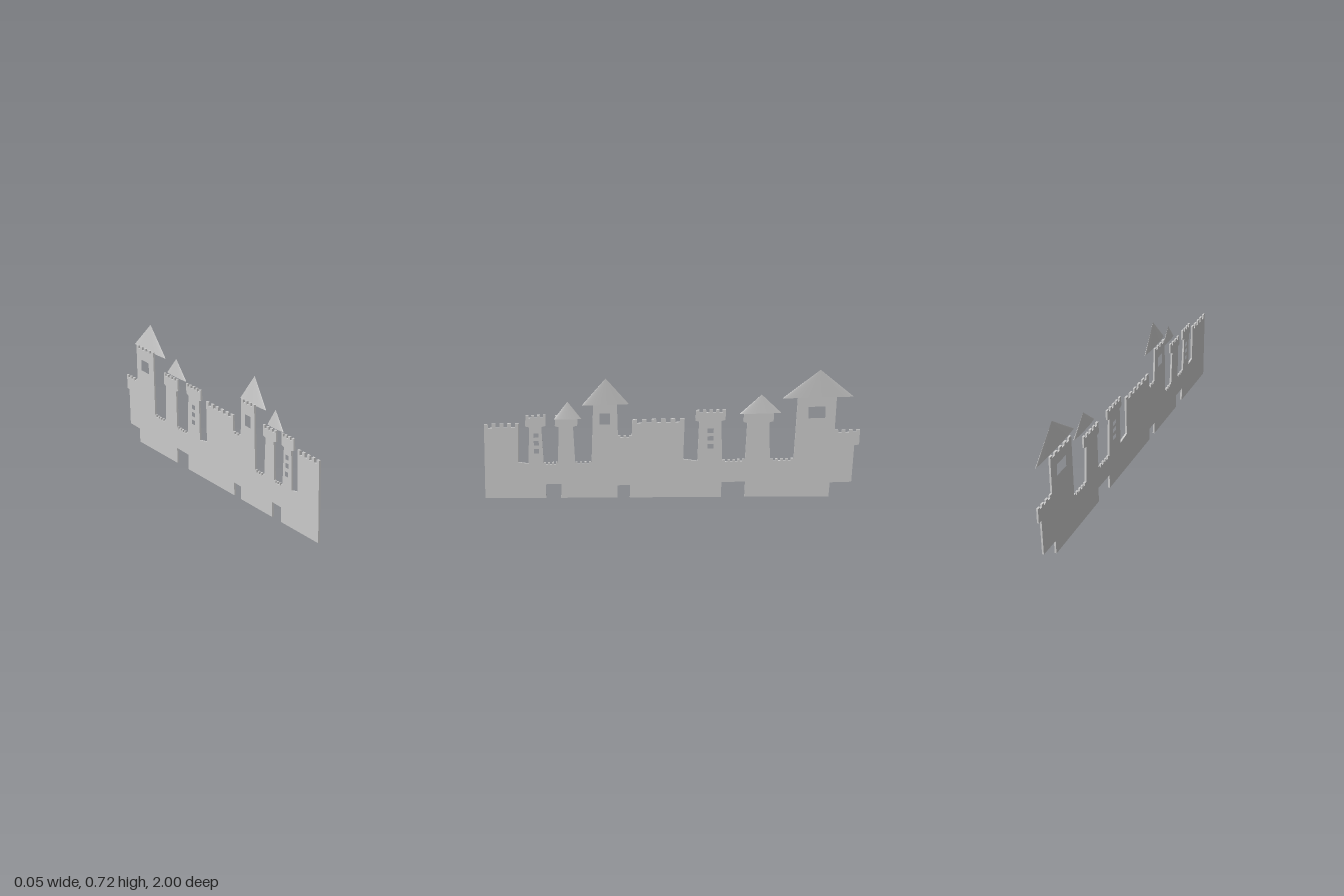
import * as THREE from 'three';

const material = new THREE.MeshStandardMaterial({ color: 0xcccccc });
const vec = (u, y) => new THREE.Vector2(u, y);

// The ground line and the low walls both sink gently from front to rear
const groundY = u => 0.05 - 0.027 * (u + 1);
const lowWallY = u => 0.24 - 0.013 * (u + 0.7);

// Battlement from u0 to u1 with n merlons
function battlement(u0, u1, top, n, depth = 0.015) {
  const points = [], steps = 2 * n - 1;
  for (let i = 0; i < steps; i++) {
    const y = i % 2 ? top - depth : top;
    points.push(vec(u0 + (u1 - u0) * i / steps, y), vec(u0 + (u1 - u0) * (i + 1) / steps, y));
  }
  return points;
}

// Low connecting wall
const lowWall = (u0, u1, n) => battlement(u0, u1, lowWallY((u0 + u1) / 2), n, 0.012);

// Tapering tower shaft with a wider crenellated head
function tower(u0, u1, neck, top, n) {
  return [
    vec(u0, lowWallY(u0) - 0.006), vec(u0 + 0.009, neck), vec(u0 - 0.011, neck + 0.006),
    ...battlement(u0 - 0.007, u1 + 0.018, top, n),
    vec(u1 + 0.015, neck + 0.006), vec(u1 - 0.007, neck), vec(u1, lowWallY(u1) - 0.006)
  ];
}

// Keep whose left side reaches down to the low wall
function keep(u0, u1, top, n) {
  return [vec(u0, lowWallY(u0) - 0.006), ...battlement(u0 + 0.015, u1, top, n)];
}

// Square gateway cut into the foot, traced from rear to front
function gateway(u0, u1, top) {
  return [vec(u1, groundY(u1)), vec(u1 + 0.003, top), vec(u0 + 0.001, top), vec(u0, groundY(u0))];
}

// Rectangular window opening
function windowHole(u0, u1, y0, y1) {
  return new THREE.Path([vec(u0, y0), vec(u0, y1), vec(u1, y1), vec(u1, y0)]);
}

// Castle silhouette: u runs from the front end (-1) to the rear end (+1)
function castleShape() {
  const shape = new THREE.Shape([
    vec(-1, groundY(-1)),
    // front curtain wall and its two slender towers
    ...battlement(-0.99, -0.81, 0.458, 5, 0.022),
    vec(-0.818, 0.245),
    ...tower(-0.767, -0.687, 0.435, 0.5, 4),
    ...lowWall(-0.686, -0.614, 4),
    ...tower(-0.613, -0.522, 0.432, 0.495, 4),
    ...lowWall(-0.521, -0.438, 4),
    // small keep and middle curtain wall
    ...keep(-0.436, -0.298, 0.571, 4),
    ...battlement(-0.295, -0.222, 0.377, 3, 0.012),
    ...battlement(-0.218, 0.058, 0.462, 6, 0.02),
    vec(0.05, 0.236),
    // two broad towers
    ...tower(0.126, 0.259, 0.442, 0.505, 5),
    ...lowWall(0.262, 0.38, 5),
    ...tower(0.382, 0.516, 0.428, 0.499, 5),
    ...lowWall(0.518, 0.642, 5),
    // great keep and rear wall
    ...keep(0.645, 0.868, 0.584, 5),
    ...battlement(0.862, 1, 0.375, 4, 0.014),
    vec(0.998, 0.29), vec(0.972, 0.288),
    // stepped foot and gateways
    vec(0.964, 0.08), vec(0.846, 0.08), vec(0.842, 0),
    ...gateway(0.255, 0.382, 0.1),
    ...gateway(-0.302, -0.236, 0.1),
    ...gateway(-0.68, -0.601, 0.118)
  ]);
  // Keep windows, then the stacked tower windows
  shape.holes.push(windowHole(-0.39, -0.335, 0.44, 0.5), windowHole(0.717, 0.808, 0.445, 0.508));
  for (const y of [0.292, 0.336, 0.378]) {
    shape.holes.push(windowHole(-0.736, -0.71, y, y + 0.024), windowHole(0.18, 0.212, y, y + 0.024));
  }
  return shape;
}

// Flattened cone roof; its tip lies at (apexX, apexY, -apexU)
function roof(name, u0, u1, baseY, apexU, apexY, centreX, apexX) {
  const midU = (u0 + u1) / 2;
  const geometry = new THREE.ConeGeometry(1, 1, 48);
  geometry.translate(0, 0.5, 0);
  geometry.applyMatrix4(new THREE.Matrix4().set(
    0.008, apexX - centreX, 0, centreX,
    0, apexY - baseY, 0, baseY,
    0, midU - apexU, (u1 - u0) / 2, -midU,
    0, 0, 0, 1
  ));
  const mesh = new THREE.Mesh(geometry, material);
  mesh.name = name;
  return mesh;
}

export function createModel() {
  const group = new THREE.Group();
  group.name = 'castleSilhouette';

  // Thin wall panel, turned to run along z
  const wallGeometry = new THREE.ExtrudeGeometry(castleShape(), { depth: 0.01, bevelEnabled: false });
  wallGeometry.rotateY(Math.PI / 2);
  wallGeometry.translate(-0.025, 0, 0);
  const wall = new THREE.Mesh(wallGeometry, material);
  wall.name = 'castleWall';
  group.add(wall);

  // Roofs floating beside the panel
  group.add(
    roof('smallTowerRoof', -0.628, -0.485, 0.484, -0.555, 0.578, 0.015, 0.015),
    roof('keepRoof', -0.48, -0.236, 0.555, -0.356, 0.698, 0.008, 0.017),
    roof('broadTowerRoof', 0.346, 0.566, 0.489, 0.46, 0.591, 0.015, 0.015),
    roof('greatKeepRoof', 0.572, 0.952, 0.566, 0.768, 0.718, 0.008, 0.017)
  );
  return group;
}
